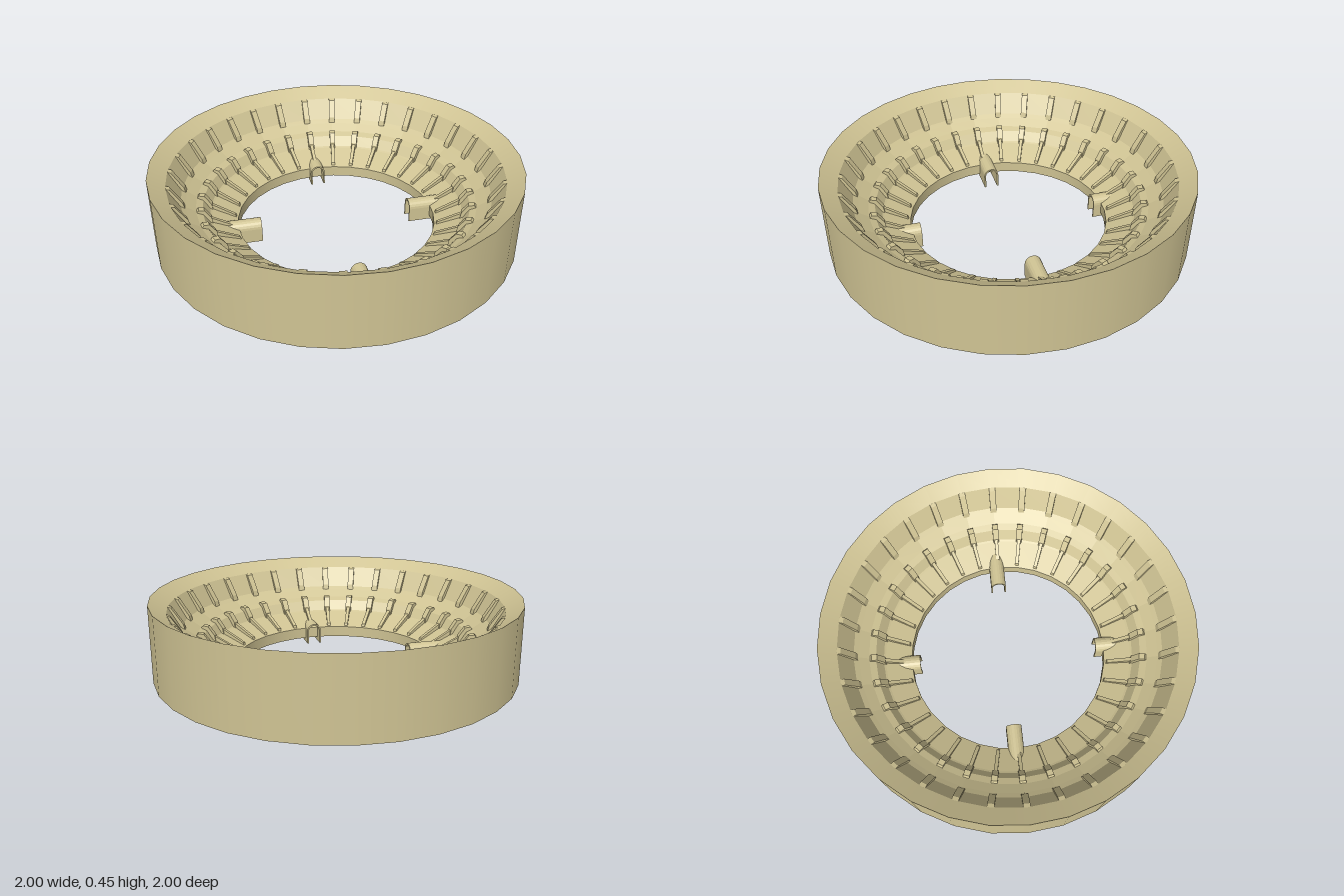
import * as THREE from 'three';

const SIDES = 32;
const color = 0xd0c494;
const smooth = new THREE.MeshStandardMaterial({ color, side: THREE.DoubleSide });
const faceted = new THREE.MeshStandardMaterial({ color, side: THREE.DoubleSide, flatShading: true });

// One sharp-edged ring between two [radius, height] profile points
function ring(name, a, b, material) {
  const geo = new THREE.LatheGeometry([new THREE.Vector2(...a), new THREE.Vector2(...b)], SIDES);
  const mesh = new THREE.Mesh(geo, material);
  mesh.name = name;
  return mesh;
}

function polygon(points) {
  return new THREE.Shape(points.map(([x, y]) => new THREE.Vector2(x, y)));
}

// Ribs: a side outline in (radius, height), repeated around the bowl
function ribs(name, outline, width) {
  const group = new THREE.Group();
  group.name = name;
  const geo = new THREE.ExtrudeGeometry(polygon(outline), { depth: width, bevelEnabled: false });
  geo.translate(0, 0, -width / 2);
  for (let i = 0; i < SIDES; i++) {
    const rib = new THREE.Mesh(geo, faceted);
    rib.name = 'rib';
    rib.rotation.y = (i / SIDES) * Math.PI * 2;
    group.add(rib);
  }
  return group;
}

// Arched entrance tunnel, open below, running radially from r0 to r1
function tunnel(r0, r1, angle) {
  const w = 0.043, t = 0.009, spring = 0.08;
  const shape = new THREE.Shape();
  shape.moveTo(w, 0);
  shape.lineTo(w, spring);
  shape.absarc(0, spring, w, 0, Math.PI, false);
  shape.lineTo(-w, 0);
  shape.lineTo(-w + t, 0);
  shape.lineTo(-w + t, spring);
  shape.absarc(0, spring, w - t, Math.PI, 0, true);
  shape.lineTo(w - t, 0);
  shape.closePath();
  const geo = new THREE.ExtrudeGeometry(shape, { depth: r1 - r0, bevelEnabled: false, curveSegments: 5 });
  geo.translate(0, 0, r0);
  const mesh = new THREE.Mesh(geo, smooth);
  mesh.name = 'entranceTunnel';
  mesh.rotation.y = angle;
  return mesh;
}

export function createModel() {
  const model = new THREE.Group();
  model.name = 'arena';

  // Shell profile, from the foot of the outer wall over the rim to the pitch
  const profile = [
    [1, 0.03], [1, 0.45], [0.91, 0.395], [0.845, 0.28], [0.82, 0.262],
    [0.77, 0.228], [0.735, 0.212], [0.70, 0.158], [0.69, 0.152], [0.55, 0.088], [0.55, 0.025],
  ];
  const names = ['outerWall', 'rimRoof', 'upperStand', 'upperStep', 'walkway',
    'lowerRim', 'lowerStandBack', 'lowerStep', 'lowerStand', 'innerWall'];
  names.forEach((name, i) => {
    const isWall = i < 2 || i === 9;
    model.add(ring(name, profile[i], profile[i + 1], isWall ? smooth : faceted));
  });

  // Dividers between the seating blocks
  model.add(ribs('upperRibs',
    [[0.91, 0.395], [0.845, 0.28], [0.822, 0.263], [0.83, 0.295], [0.89, 0.388]], 0.036));
  model.add(ribs('lowerBackRibs',
    [[0.765, 0.227], [0.735, 0.212], [0.70, 0.158], [0.685, 0.15], [0.69, 0.185], [0.725, 0.235], [0.755, 0.24]], 0.034));
  model.add(ribs('lowerRibs',
    [[0.695, 0.155], [0.56, 0.092], [0.565, 0.108], [0.69, 0.178]], 0.02));

  // Entrances: a long pair on x, a short pair on z
  for (const side of [1, -1]) {
    const long = tunnel(0.425, 0.75, side * Math.PI / 2);
    long.position.z = -0.012;
    model.add(long);
    model.add(tunnel(0.5, 0.655, side > 0 ? 0 : Math.PI));
  }
  return model;
}
